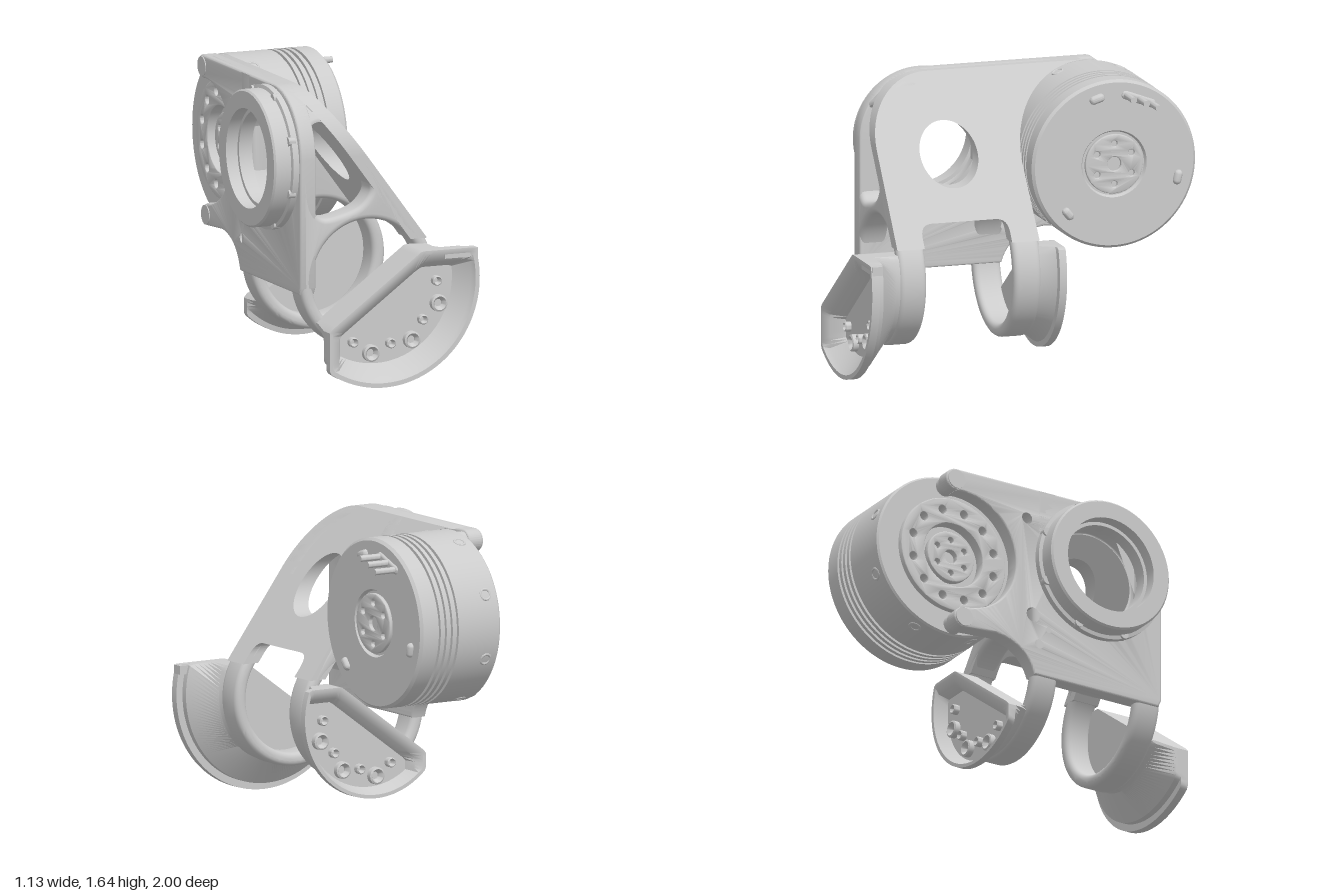
import * as THREE from 'three';
import { toCreasedNormals } from 'three/addons/utils/BufferGeometryUtils.js';

const material = new THREE.MeshStandardMaterial({ color: 0xcccccc, side: THREE.DoubleSide });
const TAU = Math.PI * 2;

function add(group, name, geometry, x = 0, y = 0, z = 0, crease = 0.6) {
  const mesh = new THREE.Mesh(toCreasedNormals(geometry, crease), material);
  mesh.name = name;
  mesh.position.set(x, y, z);
  group.add(mesh);
  return mesh;
}

// Turned part along x; profile is [radius, x]
function turnedX(profile, segments = 80) {
  return new THREE.LatheGeometry(profile.map(p => new THREE.Vector2(...p)), segments).rotateZ(-Math.PI / 2);
}
const rodX = (r, length, n = 20) => new THREE.CylinderGeometry(r, r, length, n).rotateZ(-Math.PI / 2);

function circleHole(x, y, r) {
  return new THREE.Path().absarc(x, y, r, 0, TAU, true);
}

function extrude(shape, depth, bevel = 0) {
  return new THREE.ExtrudeGeometry(shape, {
    depth: depth - 2 * bevel, bevelEnabled: bevel > 0, bevelThickness: bevel,
    bevelSize: bevel, bevelOffset: -bevel, bevelSegments: 4, curveSegments: 40,
  }).translate(0, 0, bevel);
}

// Shape drawn in (-z, y), thickened along x
const extrudeX = (shape, depth, bevel) => extrude(shape, depth, bevel).rotateY(Math.PI / 2);

function moveVertices(geometry, rule) {
  const p = geometry.attributes.position, v = new THREE.Vector3();
  for (let i = 0; i < p.count; i++) {
    v.fromBufferAttribute(p, i);
    rule(v);
    p.setXYZ(i, v.x, v.y, v.z);
  }
  return geometry;
}

// Round disc facing x, pierced by a centre hole and a ring of holes
function boltDisc(radius, depth, centre, count, ringRadius, holeRadius) {
  const s = new THREE.Shape().absarc(0, 0, radius, 0, TAU);
  s.holes.push(circleHole(0, 0, centre));
  for (let i = 0; i < count; i++) {
    const a = (i + 0.5) / count * TAU;
    s.holes.push(circleHole(ringRadius * Math.cos(a), ringRadius * Math.sin(a), holeRadius));
  }
  return extrudeX(s, depth, 0.006);
}

// Half-round outline of a foot, clipped at the top and left, inset by k
function footLoop(radius, k, z, scale) {
  const ox = 0.1, oy = 0.35, dx = ox + 0.02, dy = oy - 0.58, loop = [];
  const limits = [[0, 1, 0.75 - k], [-1, 0, 0.35 - k], [-0.593, 0.805, 0.479 - k]];
  for (let i = 0; i < 144; i++) {
    const a = i / 144 * TAU, c = Math.cos(a), s = Math.sin(a), b = c * dx + s * dy;
    let t = -b + Math.sqrt(b * b - dx * dx - dy * dy + radius * radius);
    for (const [nx, ny, d] of limits) {
      const n = nx * c + ny * s;
      if (n > 1e-6) t = Math.min(t, (d - nx * ox - ny * oy) / n);
    }
    loop.push([ox + c * t * scale, oy + s * t * scale, z]);
  }
  return loop;
}

// Loft through loops given as [z, radius, inset, scale]
function footGeometry(sections) {
  const loops = sections.map(([z, r, k = 0, scale = 1]) => footLoop(r, k, z, scale));
  const n = loops[0].length, index = [];
  for (let i = 0; i < loops.length - 1; i++) {
    for (let j = 0; j < n; j++) {
      const a = i * n + j, b = i * n + (j + 1) % n;
      index.push(a, b, b + n, a, b + n, a + n);
    }
  }
  const g = new THREE.BufferGeometry();
  g.setAttribute('position', new THREE.Float32BufferAttribute(loops.flat(2), 3));
  g.setIndex(index);
  return g;
}

function addFoot(parent, name, sections, floorZ, dir, bossRadius) {
  const foot = new THREE.Group();
  foot.name = name;
  add(foot, 'footPan', footGeometry(sections));
  // Screw bosses alternate large and small around the pan
  for (let i = 0; i < 7; i++) {
    const large = i % 2 === 1, a = (-114 + i * 18.5) * Math.PI / 180;
    const r = large ? bossRadius : bossRadius - 0.04, R = large ? 0.048 : 0.028;
    const ring = new THREE.LatheGeometry([[R * 0.45, -0.02], [R, -0.02], [R, 0.03], [R * 0.8, 0.035],
      [R * 0.45, 0.01], [R * 0.45, -0.02]].map(p => new THREE.Vector2(...p)), 24).rotateX(dir * Math.PI / 2);
    add(foot, 'screwBoss', ring, -0.02 + r * Math.cos(a), 0.58 + r * Math.sin(a), floorZ);
  }
  parent.add(foot);
}

// Side plate in (x, y): lower ring joined to a sloping upright
function sidePlate(openTop) {
  const s = new THREE.Shape().absarc(-0.02, 0.58, 0.405, Math.PI, TAU + 0.64);
  const steps = 14;
  for (let i = 0; i <= steps; i++) {
    const y = 1.25 + i / steps * 0.385;
    s.lineTo(-0.3 + (1.64 - y) * 0.742, y);
  }
  for (let i = steps; i >= 0; i--) s.lineTo(-0.43, 1.25 + i / steps * 0.385);
  s.holes.push(circleHole(-0.02, 0.58, 0.33));
  if (openTop) {
    const pts = [[-0.36, 1.36], [-0.34, 1.44], [-0.28, 1.46], [-0.22, 1.41], [-0.02, 1.14], [0, 1.07],
      [-0.06, 0.99], [-0.18, 0.945], [-0.29, 0.935], [-0.35, 1.0]].map(p => new THREE.Vector3(...p, 0));
    const curve = new THREE.CatmullRomCurve3(pts, true);
    s.holes.push(new THREE.Path(curve.getPoints(60).slice(0, -1).map(p => new THREE.Vector2(p.x, p.y))));
  }
  return extrude(s, 0.16, 0.03);
}

export function createModel() {
  const model = new THREE.Group();
  model.name = 'jointAssembly';

  // Motor drum with cooling grooves
  const motor = new THREE.Group();
  motor.name = 'motor';
  motor.position.set(0, 1.16, -0.52);
  model.add(motor);
  const profile = [[0, -0.265], [0.33, -0.265], [0.33, -0.3], [0.467, -0.3], [0.477, -0.29]];
  for (const x of [-0.01, 0.03, 0.07, 0.11]) {
    profile.push([0.477, x - 0.009], [0.458, x - 0.009], [0.458, x + 0.009], [0.477, x + 0.009]);
  }
  profile.push([0.477, 0.215], [0.462, 0.23], [0.19, 0.23], [0.18, 0.21], [0, 0.21]);
  add(motor, 'drum', turnedX(profile, 112));
  add(motor, 'outputHub', boltDisc(0.168, 0.025, 0.04, 6, 0.115, 0.018), 0.21);
  add(motor, 'mountingFlange', boltDisc(0.34, 0.07, 0.19, 12, 0.27, 0.025), -0.333);
  add(motor, 'innerHub', boltDisc(0.15, 0.04, 0.04, 6, 0.1, 0.018), -0.305);
  for (let i = 0; i < 8; i++) {
    const a = (i + 0.5) / 8 * TAU;
    const rim = add(motor, 'sideScrew', new THREE.TorusGeometry(0.03, 0.008, 8, 24).rotateX(Math.PI / 2),
      -0.22, 0.474 * Math.cos(a), 0.474 * Math.sin(a));
    rim.rotation.x = a;
  }
  // Wire pins and small connectors on the outer face
  for (const [y, z] of [[0.385, -0.07], [0.36, -0.145], [0.33, -0.215]]) {
    add(motor, 'wirePin', rodX(0.018, 0.16), 0.29, y, z);
  }
  const connectors = [[0.375, 0.1, 0.09, 0.3], [-0.265, 0.27, 0.08, -0.9], [-0.1, -0.37, 0.085, 1.35], [0.358, -0.143, 0.21, -0.36]];
  connectors.forEach(([y, z, length, tilt], i) => {
    const g = new THREE.CapsuleGeometry(0.024, length - 0.048, 6, 16).rotateX(Math.PI / 2).scale(i === 3 ? 0.6 : 1.1, 1, 1);
    add(motor, 'connector', g, 0.23, y, z).rotation.x = tilt;
  });

  // Bracket carrying the motor and the two feet
  const bracket = new THREE.Group();
  bracket.name = 'bracket';
  model.add(bracket);

  // Sloping panel with an arched bottom and a round opening
  const panel = new THREE.Shape();
  panel.moveTo(-0.78, 0.78).lineTo(-0.78, 1.27);
  panel.absarc(-0.41, 1.27, 0.37, Math.PI, Math.PI / 2, true);
  panel.lineTo(0.5, 1.64).absarc(0.52, 1.16, 0.478, 1.6, Math.PI, false);
  panel.lineTo(0.05, 0.78).lineTo(-0.11, 0.78).lineTo(-0.11, 0.83);
  panel.quadraticCurveTo(-0.11, 0.9, -0.18, 0.9).lineTo(-0.55, 0.9);
  panel.quadraticCurveTo(-0.62, 0.9, -0.62, 0.83).lineTo(-0.62, 0.78);
  panel.holes.push(circleHole(-0.37, 1.23, 0.167));
  add(bracket, 'slopingPanel', moveVertices(extrudeX(panel, 0.1), v => {
    v.x = Math.max(-0.42, v.x - 0.4 + (1.64 - v.y) * 0.742);
  }));

  // Front plate curves back towards the top; the back plate is straight
  add(bracket, 'frontPlate', moveVertices(sidePlate(true).translate(0, 0, 0.62), v => {
    const h = Math.max(0, v.y - 1.27);
    v.z -= 0.37 - Math.sqrt(Math.max(0, 0.1369 - h * h));
  }));
  add(bracket, 'backPlate', sidePlate(false).translate(0, 0, -0.05));

  // Left wall with forked arms around the motor flange
  const wall = new THREE.Shape();
  wall.moveTo(-0.76, 0.51).lineTo(-0.78, 0.55).lineTo(-0.78, 1.27);
  wall.absarc(-0.41, 1.27, 0.37, Math.PI, Math.PI / 2, true);
  wall.lineTo(0.56, 1.64).absarc(0.56, 1.575, 0.065, Math.PI / 2, -Math.PI / 2, true);
  wall.absarc(0.52, 1.16, 0.35, 1.45, TAU - 1.6, false);
  wall.absarc(0.51, 0.745, 0.06, Math.PI / 2, -Math.PI / 2, true);
  wall.lineTo(0.3, 0.7).quadraticCurveTo(0.1, 0.68, 0.05, 0.51);
  wall.holes.push(circleHole(-0.36, 1.225, 0.28), circleHole(0.06, 0.87, 0.055), circleHole(0.1, 1.45, 0.045),
    circleHole(0.02, 0.7, 0.04), circleHole(-0.04, 0.8, 0.03));
  add(bracket, 'leftWall', extrudeX(wall, 0.095, 0.012), -0.43);
  for (const [y, z] of [[1.575, -0.56], [0.745, -0.51]]) {
    add(bracket, 'armBoss', rodX(0.055, 0.14, 32), -0.365, y, z);
  }

  // Bearing collar on the left
  add(bracket, 'bearingCollar', turnedX([[0.28, -0.57], [0.375, -0.57], [0.385, -0.56], [0.385, -0.47], [0.405, -0.465],
    [0.405, -0.42], [0.26, -0.42], [0.26, -0.5], [0.28, -0.5], [0.28, -0.57]]), 0, 1.225, 0.36);
  for (let i = 0; i < 8; i++) {
    const a = (i + 0.5) / 8 * TAU;
    add(bracket, 'collarScrew', rodX(0.025, 0.04), -0.46, 1.225 + 0.385 * Math.cos(a), 0.36 + 0.385 * Math.sin(a));
  }

  // Half-round feet, open outwards
  addFoot(model, 'frontFoot', [[0.76, 0.39, 0, 0], [0.76, 0.39], [0.8, 0.4], [0.92, 0.54], [0.955, 0.54], [0.955, 0.58],
    [1, 0.58], [1, 0.555, 0.02], [0.97, 0.54, 0.07], [0.89, 0.46, 0.11], [0.89, 0.46, 0.11, 0]], 0.89, 1, 0.4);
  addFoot(model, 'backFoot', [[-0.03, 0.39, 0, 0], [-0.03, 0.39], [-0.08, 0.41], [-0.125, 0.445], [-0.13, 0.475], [-0.172, 0.475],
    [-0.172, 0.455, 0.02], [-0.15, 0.445, 0.06], [-0.1, 0.42, 0.09], [-0.1, 0.42, 0.09, 0]].reverse(), -0.1, -1, 0.36);
  add(model, 'footLedge', new THREE.BoxGeometry(0.2, 0.05, 0.06), 0.45, 0.722, 0.965);
  return model;
}
